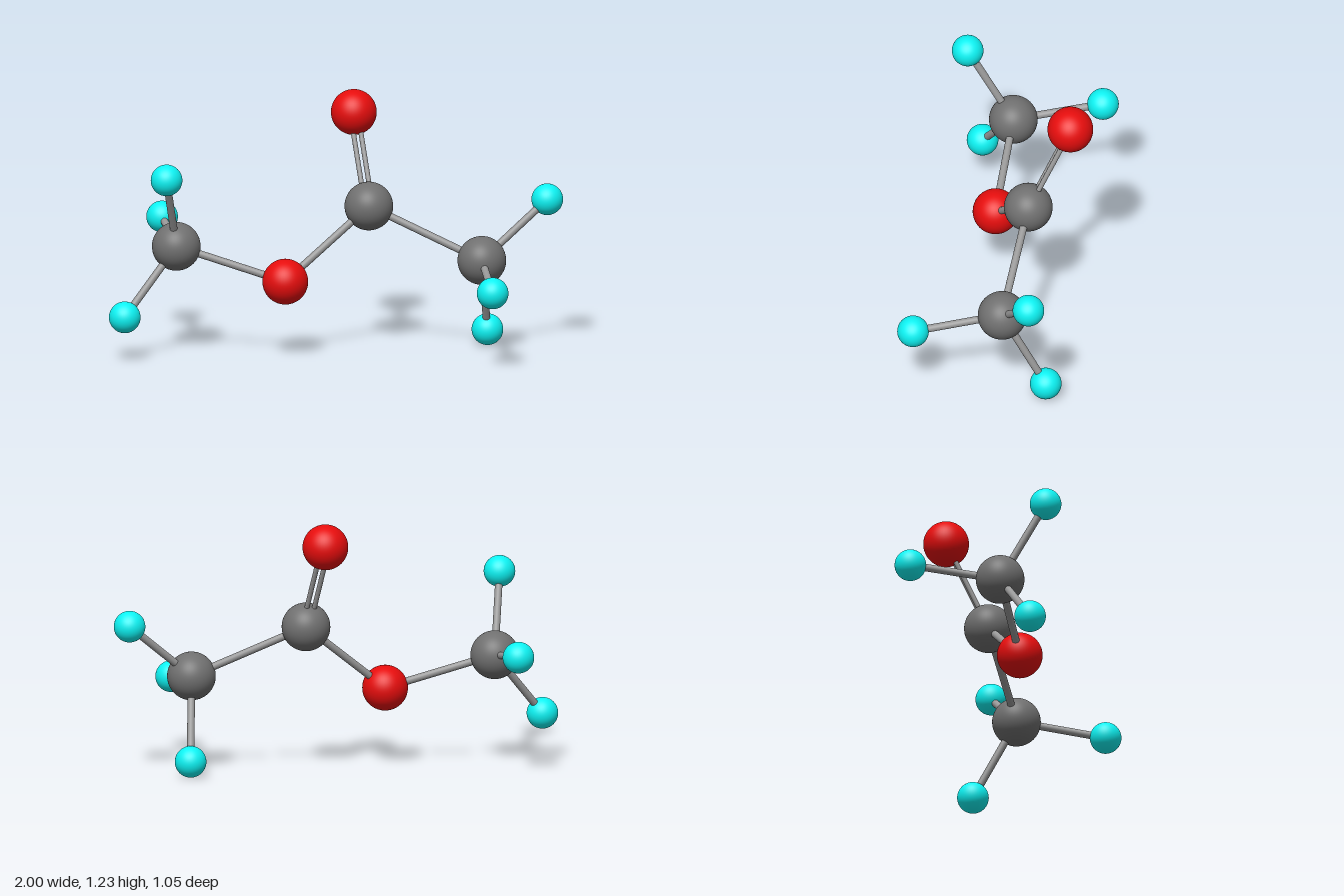
import * as THREE from 'three';

const paint = (color) => new THREE.MeshStandardMaterial({ color });

// Atom kinds: radius and colour
const KINDS = {
  carbon: { radius: 0.117, material: paint(0x707070) },
  oxygen: { radius: 0.11, material: paint(0xe60d0d) },
  hydrogen: { radius: 0.076, material: paint(0x0df2f2) },
};
const BOND = paint(0x999999);

// Atom name: [kind, x, y, z]
const ATOMS = {
  leftCarbon: ['carbon', 0.663, 0.46, -0.222],
  centreCarbon: ['carbon', 0.115, 0.706, -0.158],
  rightCarbon: ['carbon', -0.735, 0.533, 0.225],
  bridgeOxygen: ['oxygen', -0.217, 0.372, 0.129],
  topOxygen: ['oxygen', -0.012, 1.126, -0.327],
  leftHydrogenUpper: ['hydrogen', 0.922, 0.73, -0.45],
  leftHydrogenFront: ['hydrogen', 0.837, 0.387, 0.17],
  leftHydrogenLower: ['hydrogen', 0.627, 0.078, -0.432],
  rightHydrogenUpper: ['hydrogen', -0.715, 0.903, 0.451],
  rightHydrogenBack: ['hydrogen', -0.925, 0.59, -0.164],
  rightHydrogenLower: ['hydrogen', -0.925, 0.218, 0.451],
};

const SINGLE_BONDS = [
  ['leftCarbon', 'centreCarbon'],
  ['centreCarbon', 'bridgeOxygen'],
  ['bridgeOxygen', 'rightCarbon'],
  ['leftCarbon', 'leftHydrogenUpper'],
  ['leftCarbon', 'leftHydrogenFront'],
  ['leftCarbon', 'leftHydrogenLower'],
  ['rightCarbon', 'rightHydrogenUpper'],
  ['rightCarbon', 'rightHydrogenBack'],
  ['rightCarbon', 'rightHydrogenLower'],
];

const position = (name) => new THREE.Vector3(...ATOMS[name].slice(1));

// Cylinder running from a to b
function rod(name, a, b, radius) {
  const axis = b.clone().sub(a);
  const mesh = new THREE.Mesh(new THREE.CylinderGeometry(radius, radius, axis.length(), 24), BOND);
  mesh.name = name;
  mesh.position.copy(a).add(b).multiplyScalar(0.5);
  mesh.quaternion.setFromUnitVectors(new THREE.Vector3(0, 1, 0), axis.normalize());
  return mesh;
}

export function createModel() {
  const model = new THREE.Group();
  model.name = 'molecule';

  // Atoms
  for (const [name, [kind]] of Object.entries(ATOMS)) {
    const { radius, material } = KINDS[kind];
    const atom = new THREE.Mesh(new THREE.SphereGeometry(radius, 48, 32), material);
    atom.name = name;
    atom.position.copy(position(name));
    model.add(atom);
  }

  // Single bonds
  for (const [from, to] of SINGLE_BONDS) {
    model.add(rod(`${from}To${to}Bond`, position(from), position(to), 0.018));
  }

  // Double bond: two thin rods side by side in the plane of the central group
  const a = position('centreCarbon');
  const b = position('topOxygen');
  const axis = b.clone().sub(a).normalize();
  const side = position('leftCarbon').sub(position('bridgeOxygen'));
  side.addScaledVector(axis, -side.dot(axis)).normalize();
  const doubleBond = new THREE.Group();
  doubleBond.name = 'doubleBond';
  for (const s of [-1, 1]) {
    const shift = side.clone().multiplyScalar(s * 0.018);
    doubleBond.add(rod('doubleBondRod', a.clone().add(shift), b.clone().add(shift), 0.012));
  }
  model.add(doubleBond);

  return model;
}
